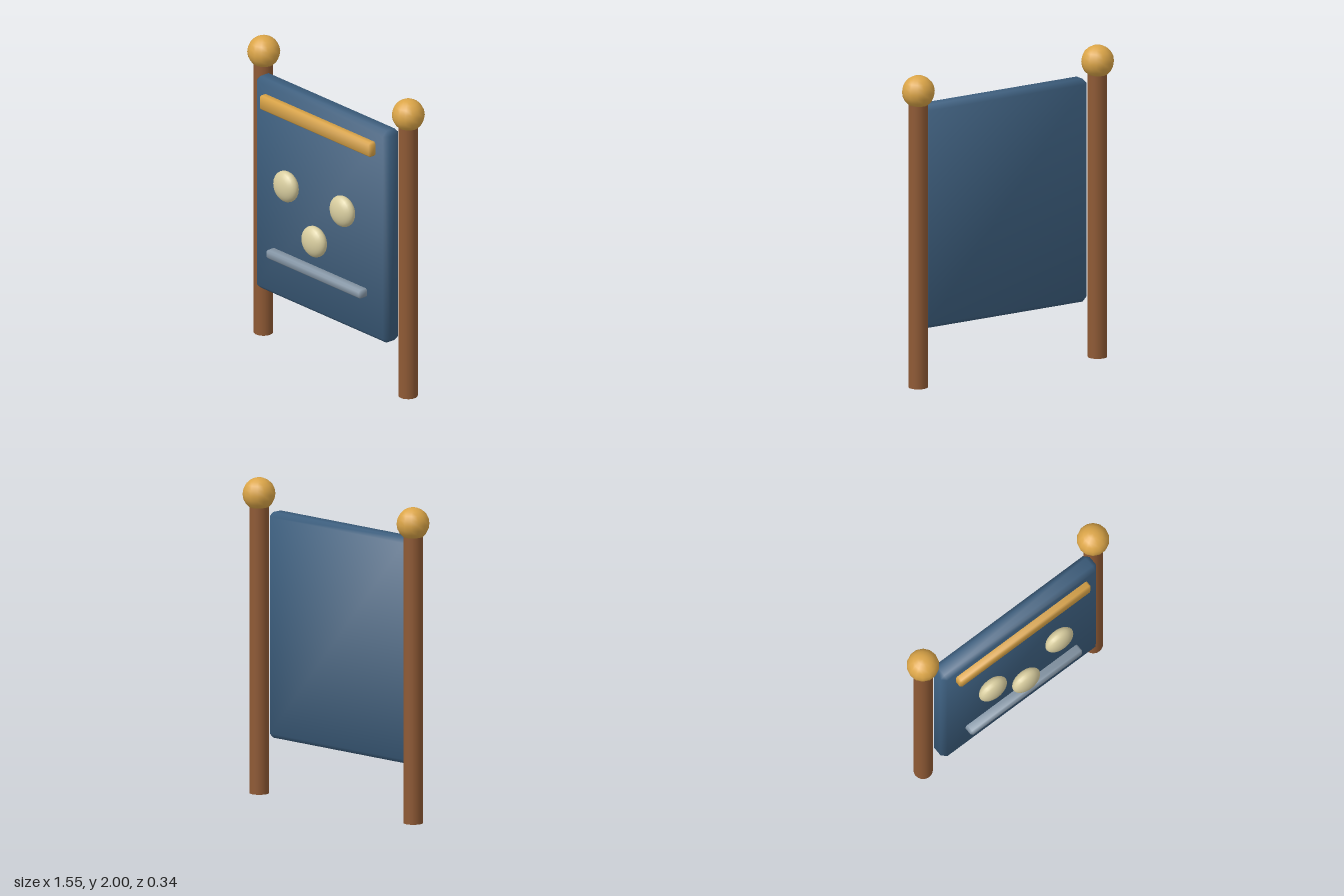
import * as THREE from 'three';
import { ConvexGeometry } from 'three/addons/geometries/ConvexGeometry.js';

function material(name, color) {
  const m = new THREE.MeshStandardMaterial({ color });
  m.name = name;
  return m;
}

// Box with every edge chamfered and softly blended normals
function chamferedBox(w, h, d, c) {
  const half = [w / 2, h / 2, d / 2];
  const points = [];
  for (const sx of [-1, 1]) for (const sy of [-1, 1]) for (const sz of [-1, 1]) {
    for (let axis = 0; axis < 3; axis++) {
      const p = [sx, sy, sz].map((s, i) => s * (half[i] - (i === axis ? 0 : c)));
      points.push(new THREE.Vector3(...p));
    }
  }
  const geo = new ConvexGeometry(points);
  const pos = geo.attributes.position;
  const n = new THREE.Vector3();
  for (let i = 0; i < pos.count; i++) {
    const p = [pos.getX(i), pos.getY(i), pos.getZ(i)];
    // the face a corner belongs to dominates its normal
    n.set(...p.map((v, k) => Math.sign(v) * (Math.abs(v) > half[k] - c / 2 ? 1 : 0.38))).normalize();
    geo.attributes.normal.setXYZ(i, n.x, n.y, n.z);
  }
  return geo;
}

export function createModel() {
  const group = new THREE.Group();
  group.name = 'activityPanel';
  const wood = material('brown wood', 0x8f5a35);
  const blue = material('slate blue', 0x3d5f7f);
  const gold = material('gold', 0xdba548);
  const cream = material('cream', 0xd8cd9f);
  const steel = material('grey steel', 0x8798a8);

  function add(name, geo, mat, x, y, z) {
    const mesh = new THREE.Mesh(geo, mat);
    mesh.name = name;
    mesh.position.set(x, y, z);
    group.add(mesh);
    return mesh;
  }

  // Posts with ball finials
  const postGeo = new THREE.CylinderGeometry(0.061, 0.061, 1.86, 20);
  const ballGeo = new THREE.SphereGeometry(0.103, 14, 10);
  for (const [side, s] of [['left', 1], ['right', -1]]) {
    add(side + 'Post', postGeo, wood, s * 0.672, 0.93, -0.065);
    add(side + 'Finial', ballGeo, gold, s * 0.672, 1.897, -0.067);
  }

  // Board between the posts
  add('panel', chamferedBox(1.23, 1.43, 0.127, 0.03), blue, 0, 1.073, 0.004);

  // Bars fixed to the front of the board
  add('topBar', chamferedBox(1.034, 0.095, 0.065, 0.012), gold, 0, 1.653, 0.083);
  add('lowerBar', chamferedBox(0.88, 0.057, 0.075, 0.012), steel, 0, 0.656, 0.091);

  // Flattened knobs
  const knobGeo = new THREE.SphereGeometry(0.102, 24, 14);
  knobGeo.rotateX(Math.PI / 2);
  knobGeo.scale(1, 1, 0.55);
  for (const [name, x, y] of [['leftKnob', 0.262, 1.166], ['rightKnob', -0.262, 1.166], ['middleKnob', 0, 0.877]]) {
    add(name, knobGeo, cream, x, y, 0.115);
  }
  return group;
}
